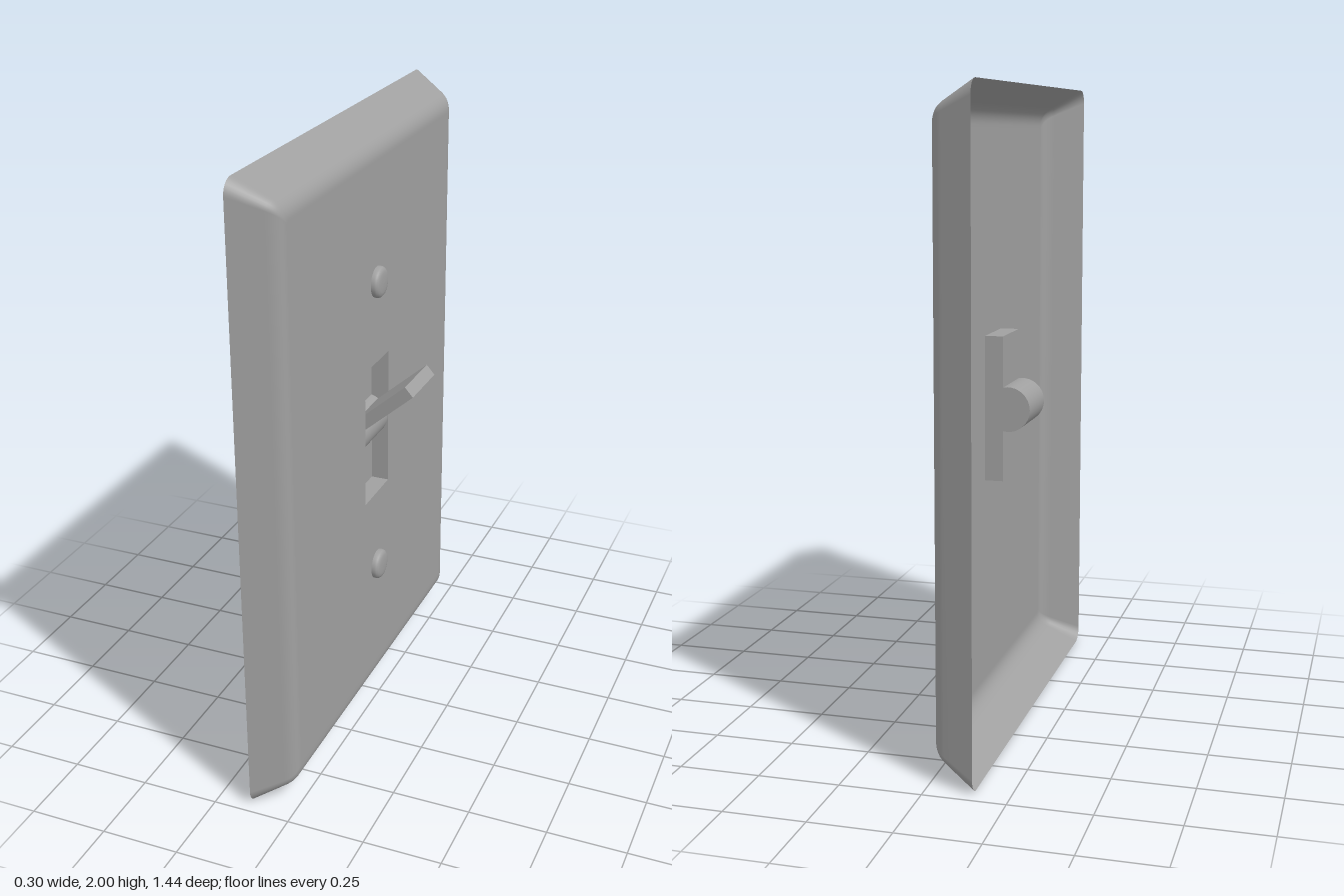
import * as THREE from 'three';

const MID = 1.004;      // height of the switch centre
const FACE_X = -0.008;  // front plane of the plate

// Rounded rectangle outline in the z/y plane
function outline(halfZ, halfY, radius) {
  const points = [];
  const corners = [[1, 1], [-1, 1], [-1, -1], [1, -1]];
  corners.forEach(([sz, sy], q) => {
    for (let k = 0; k <= 6; k++) {
      const t = (q + k / 6) * Math.PI / 2;
      points.push(new THREE.Vector2(
        sz * (halfZ - radius) + radius * Math.cos(t),
        1 + sy * (halfY - radius) + radius * Math.sin(t)));
    }
  });
  return points;
}

// Sloping rim: stacked outlines that shrink towards the front
function rimGeometry(rings) {
  const positions = [], index = [], n = rings[0].points.length;
  rings.forEach(({ x, points }, i) => {
    points.forEach((p, j) => {
      positions.push(x, p.y, p.x);
      if (i === rings.length - 1) return;
      const a = i * n + j, b = i * n + (j + 1) % n;
      index.push(a, a + n, b, b, a + n, b + n);
    });
  });
  const geometry = new THREE.BufferGeometry();
  geometry.setAttribute('position', new THREE.Float32BufferAttribute(positions, 3));
  geometry.setIndex(index);
  geometry.computeVertexNormals();
  return geometry;
}

export function createModel() {
  const model = new THREE.Group();
  model.name = 'lightSwitch';
  const grey = new THREE.MeshStandardMaterial({ color: 0xa0a0a0, side: THREE.DoubleSide });
  grey.name = 'grey';

  const add = (name, geometry, x = 0, y = 0, z = 0) => {
    const mesh = new THREE.Mesh(geometry, grey);
    mesh.name = name;
    mesh.position.set(x, y, z);
    model.add(mesh);
    return mesh;
  };

  // Plate rim: straight slope, then a soft shoulder
  const shoulder = new THREE.QuadraticBezierCurve(
    new THREE.Vector2(-0.045, 0.058),
    new THREE.Vector2(FACE_X, 0.08),
    new THREE.Vector2(FACE_X, 0.12)).getPoints(10);
  const profile = [new THREE.Vector2(-0.142, 0), new THREE.Vector2(-0.09, 0.031),
    ...shoulder, new THREE.Vector2(FACE_X, 0.13)];
  const rings = profile.map((p) => ({
    x: p.x,
    points: outline(0.72 - 0.8 * p.y, 1 - p.y, 0.045 - 0.28 * p.y),
  }));
  add('plateRim', rimGeometry(rings));

  // Flat plate front with the switch opening
  const halfW = 0.097, halfH = 0.23;
  const face = new THREE.Shape(rings[rings.length - 1].points);
  face.holes.push(new THREE.Path([
    new THREE.Vector2(-halfW, MID - halfH), new THREE.Vector2(-halfW, MID + halfH),
    new THREE.Vector2(halfW, MID + halfH), new THREE.Vector2(halfW, MID - halfH)]));
  add('plateFace', new THREE.ShapeGeometry(face).rotateY(Math.PI / 2), FACE_X);

  // Recess: box without its front side
  const depth = 0.058;
  const recess = new THREE.BoxGeometry(depth, 2 * halfH, 2 * halfW);
  recess.setIndex(Array.from(recess.index.array).slice(6));
  recess.clearGroups();
  add('recess', recess, FACE_X - depth / 2, MID);

  // Pivot barrel and toggle lever
  const pivotX = -0.081;
  add('pivot', new THREE.CylinderGeometry(0.071, 0.071, 0.192, 40).rotateX(Math.PI / 2), pivotX, MID);
  const lever = add('lever',
    new THREE.BoxGeometry(0.288, 0.04, 0.192).translate(0.144, 0, 0), pivotX, MID);
  lever.rotation.z = THREE.MathUtils.degToRad(41);

  // Domed screws
  const screwProfile = [[0.0495, 0], [0.0495, 0.01], [0.047, 0.016], [0.041, 0.021],
    [0.032, 0.0235], [0.018, 0.0245], [0, 0.025]].map(([r, h]) => new THREE.Vector2(r, h));
  for (const [name, side] of [['upperScrew', 1], ['lowerScrew', -1]]) {
    add(name, new THREE.LatheGeometry(screwProfile, 32).rotateZ(-Math.PI / 2),
      FACE_X, MID + side * 0.497);
  }

  return model;
}
